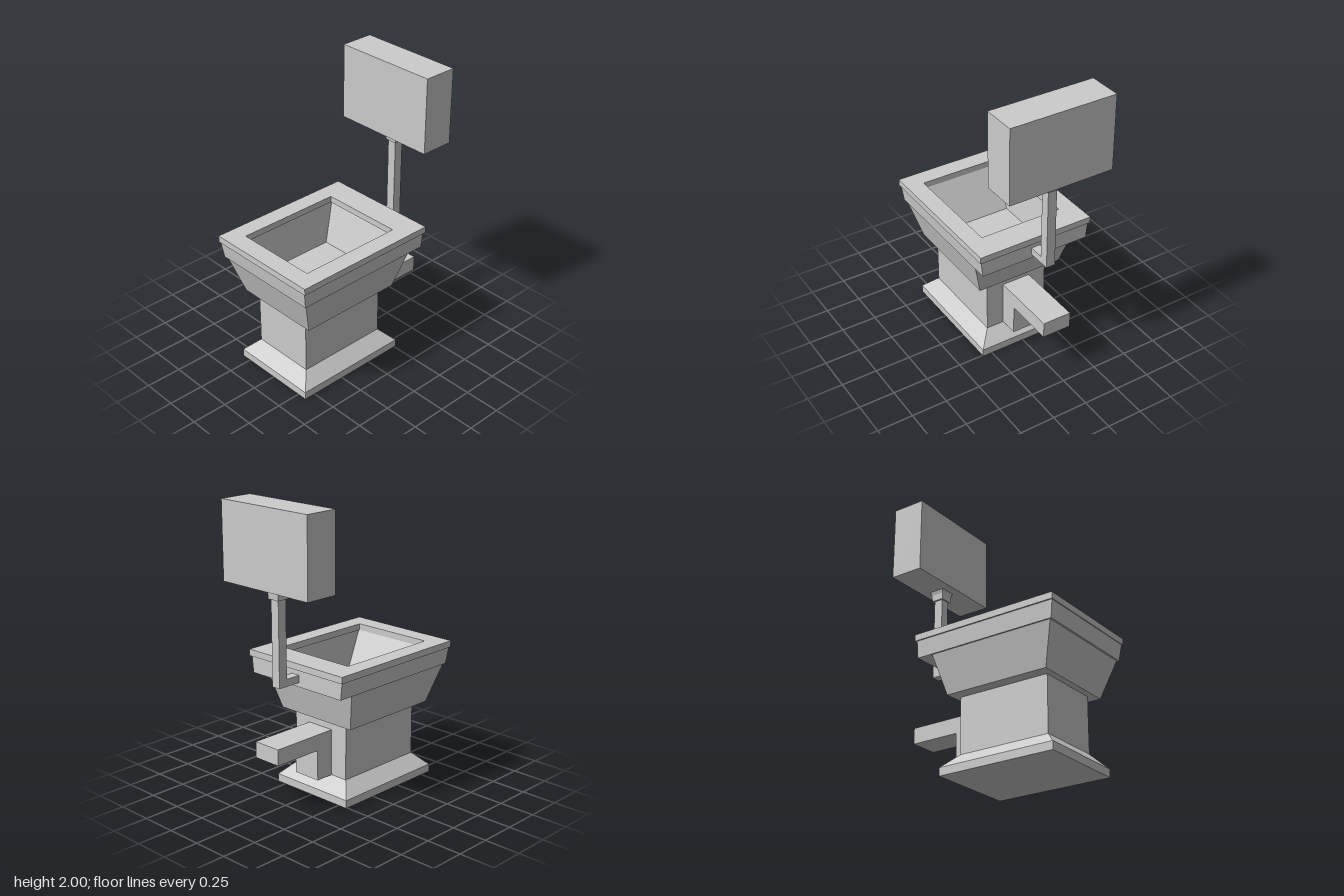
import * as THREE from 'three';

const material = new THREE.MeshStandardMaterial({ color: 0xcccccc, flatShading: true });

function part(name, geometry) {
  const mesh = new THREE.Mesh(geometry, material);
  mesh.name = name;
  return mesh;
}

// Joins rectangular sections [y, halfWidth, zBack, zFront] in order, with optional end caps.
function loft(sections, capped = true) {
  const rings = sections.map(([y, x, back, front]) => [
    [-x, y, front], [x, y, front], [x, y, back], [-x, y, back],
  ]);
  const positions = [];
  const quad = (a, b, c, d) => positions.push(...a, ...b, ...c, ...a, ...c, ...d);
  for (let k = 0; k < rings.length - 1; k++) {
    const low = rings[k], high = rings[k + 1];
    for (let i = 0; i < 4; i++) {
      const j = (i + 1) % 4;
      quad(low[i], low[j], high[j], high[i]);
    }
  }
  if (capped) {
    const first = rings[0], last = rings[rings.length - 1];
    quad(first[0], first[3], first[2], first[1]);
    quad(...last);
  }
  const geometry = new THREE.BufferGeometry();
  geometry.setAttribute('position', new THREE.Float32BufferAttribute(positions, 3));
  geometry.computeVertexNormals();
  return geometry;
}

// Extrudes a side profile of [z, y] points across the width.
function sideProfile(points, width) {
  const shape = new THREE.Shape(points.map(([z, y]) => new THREE.Vector2(z, y)));
  const geometry = new THREE.ExtrudeGeometry(shape, { depth: width, bevelEnabled: false });
  return geometry.translate(0, 0, -width / 2).rotateY(-Math.PI / 2);
}

export function createModel() {
  const model = new THREE.Group();
  model.name = 'highTankToilet';

  // Plinth with sloped shoulder, and the column above it
  model.add(part('base', loft([
    [0, 0.32, -0.26, 0.58], [0.055, 0.32, -0.26, 0.58], [0.145, 0.23, -0.17, 0.49],
  ])));
  model.add(part('pedestal', loft([
    [0.145, 0.23, -0.17, 0.49], [0.53, 0.23, -0.17, 0.49],
  ])));

  // Bowl: flared outside, overhanging rim, then down the inside to the floor
  model.add(part('bowl', loft([
    [0.53, 0.312, -0.215, 0.535], [0.8, 0.388, -0.285, 0.622],
    [0.8, 0.398, -0.395, 0.635], [0.915, 0.41, -0.395, 0.652],
    [0.915, 0.31, -0.245, 0.535], [0.63, 0.273, -0.155, 0.375],
  ])));

  // Seat: closed ring with a rectangular opening
  const outer = [0.42, -0.407, 0.658], hole = [0.298, -0.223, 0.53];
  model.add(part('seat', loft([
    [0.915, ...outer], [0.96, ...outer], [0.96, ...hole], [0.915, ...hole], [0.915, ...outer],
  ], false)));

  // Waste outlet behind the pedestal
  model.add(part('wasteOutlet', sideProfile([
    [-0.17, 0.145], [-0.17, 0.465], [-0.655, 0.465],
    [-0.655, 0.355], [-0.302, 0.355], [-0.302, 0.145],
  ], 0.205)));

  // Flush pipe rising from the bowl to the tank
  model.add(part('flushPipe', sideProfile([
    [-0.39, 0.83], [-0.39, 0.88], [-0.502, 0.88],
    [-0.502, 1.41], [-0.567, 1.41], [-0.567, 0.83],
  ], 0.064)));
  model.add(part('pipeCollar', loft([
    [1.405, 0.044, -0.579, -0.491], [1.45, 0.046, -0.582, -0.488],
    [1.475, 0.055, -0.59, -0.48],
  ])));

  // Water tank
  const tank = part('tank', new THREE.BoxGeometry(0.75, 0.525, 0.237));
  tank.position.set(-0.005, 1.7375, -0.538);
  model.add(tank);

  return model;
}
